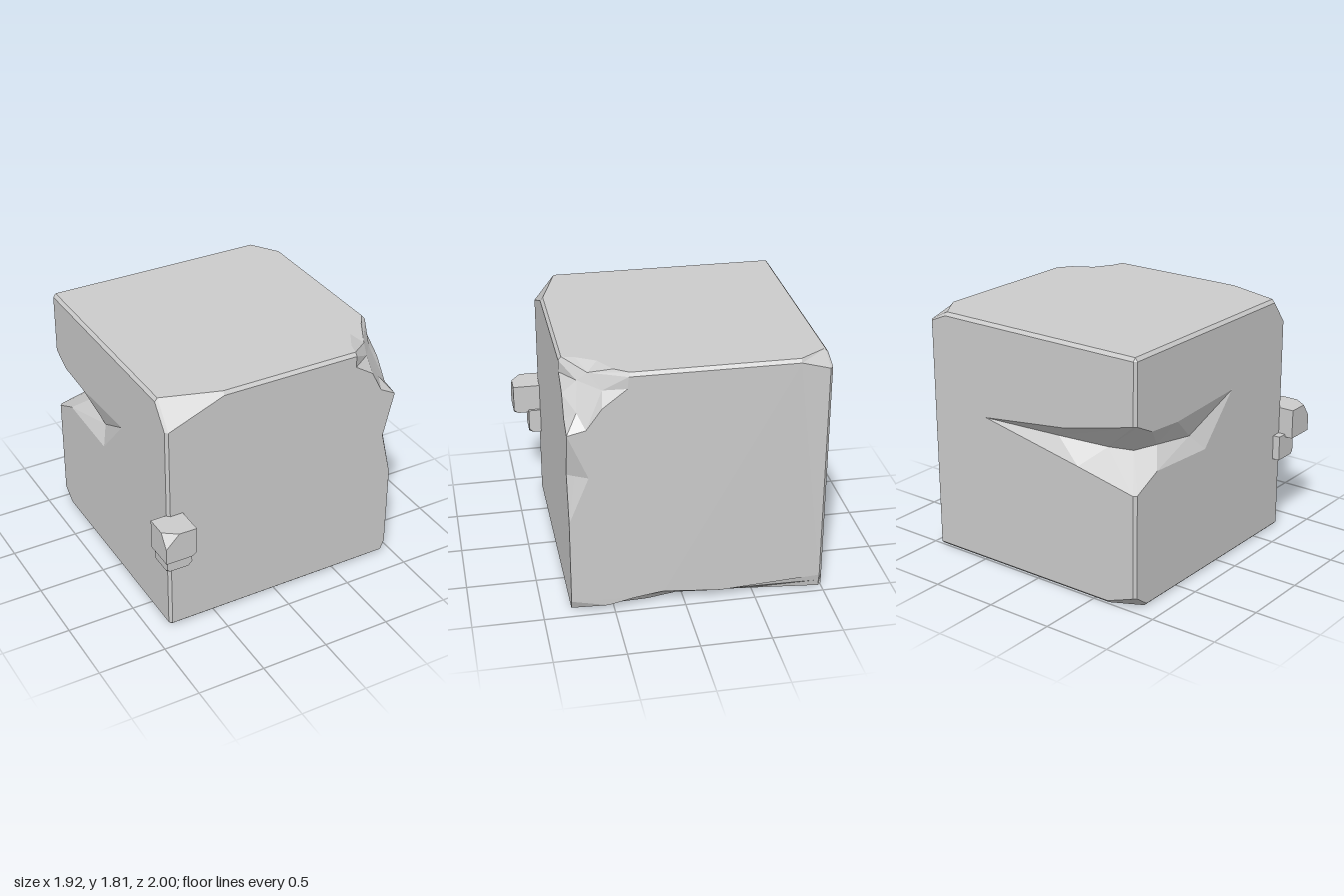
import * as THREE from 'three';
import { ConvexGeometry } from 'three/addons/geometries/ConvexGeometry.js';

const material = new THREE.MeshStandardMaterial({ color: 0xcccccc, flatShading: true });

// Face planes (capitals) and the start of the narrow bevels (lower case)
const L = -0.855, R = 0.95, T = 1.81, K = -1, F = 0.8;
const l = -0.835, r = 0.93, t = 1.785, b = 0.02, k = -0.98, f = 0.78;
const centre = new THREE.Vector3(0.05, 0.9, -0.1);

// Collects triangles, each turned to face away from the middle of the block
function surface() {
  const positions = [];
  const tri = (...corners) => {
    const [p, q, s] = corners.map(c => new THREE.Vector3(...c));
    const n = q.clone().sub(p).cross(s.clone().sub(p));
    if (n.length() < 1e-7) return;
    const out = p.clone().add(q).add(s).divideScalar(3).sub(centre);
    const order = n.dot(out) > 0 ? [p, q, s] : [p, s, q];
    order.forEach(v => positions.push(v.x, v.y, v.z));
  };
  const fan = (points, apex = points[0]) => {
    for (let i = 0; i < points.length - 1; i++) tri(apex, points[i], points[i + 1]);
  };
  const strip = (a, c) => {
    for (let i = 0; i < a.length - 1; i++) {
      tri(a[i], a[i + 1], c[i]);
      tri(a[i + 1], c[i + 1], c[i]);
    }
  };
  // Flat outline, possibly concave, perpendicular to the given axis
  const face = (axis, points) => {
    const flat = points.map(p => new THREE.Vector2(...p.filter((_, i) => i !== axis)));
    THREE.ShapeUtils.triangulateShape(flat, []).forEach(ids => tri(...ids.map(i => points[i])));
  };
  // Broken corner: each boundary arc fans to its own inner point
  const chip = (arcs, inner) => {
    arcs.forEach((arc, i) => {
      fan(arc, inner[i]);
      tri(arc[arc.length - 1], inner[i], inner[(i + 1) % inner.length]);
    });
    fan(inner);
  };
  const mesh = name => {
    const g = new THREE.BufferGeometry();
    g.setAttribute('position', new THREE.Float32BufferAttribute(positions, 3));
    g.computeVertexNormals();
    const m = new THREE.Mesh(g, material);
    m.name = name;
    return m;
  };
  return { fan, strip, face, chip, mesh };
}

const rev = a => [...a].reverse();

// Boundaries of the broken upper corner
const cornerFront = [[0.61, t, F], [0.61, 1.7, F], [0.75, 1.61, F]];
const cornerLow = [[0.75, 1.61, F], [0.83, 1.455, F], [R, 1.39, F], [R, 1.42, 0.67]];
const cornerSide = [[R, 1.42, 0.67], [R, 1.57, 0.56], [R, 1.7, 0.39], [R, t, 0.38]];
const cornerTop = [[r, T, 0.37], [0.86, T, 0.47], [0.715, T, 0.555], [0.635, T, 0.69], [0.61, T, f]];

// Crumbled lower edge: side line, ridge, underside line
const crumbSide = [[R, 0.09, F], [R, 0.03, 0.54], [R, 0.07, 0.36], [R, 0.1, 0.15], [R, 0.06, -0.26], [R, 0.1, k]];
const crumbMid = [[0.92, b, F], [0.92, 0.02, 0.52], [0.9, 0.04, 0.34], [0.9, 0.05, 0.05], [0.91, 0.04, -0.28], [0.94, 0.05, k]];
const crumbUnder = [[0.76, 0, f], [0.88, 0, 0.5], [0.87, 0, 0.25], [0.82, 0, 0], [0.87, 0, -0.45], [r, 0, k]];

// Gash wrapped around the rear vertical edge
const backTip = [0.45, 1.11, K], sideTip = [L, 1.28, 0.12];
const gashUpper = [backTip, [-0.26, 1.2, K], [l, 1.34, K], [L, 1.34, k], [L, 1.26, -0.82], [L, 1.24, -0.53], sideTip];
const gashMid = [backTip, [-0.15, 1.1, -0.93], [-0.5, 1.07, -0.83], [-0.66, 1.06, -0.76], [-0.75, 1.08, -0.62], [-0.79, 1.05, -0.3], sideTip];
const gashLower = [backTip, [-0.37, 0.95, K], [l, 0.855, K], [L, 0.855, k], [L, 0.96, -0.76], [L, 0.935, -0.2], sideTip];

// Notch on the front vertical edge
const notchTop = [R, 1.39, F], notchLow = [R, 0.72, F];
const notchFront = [0.87, 1.06, F], notchSide = [R, 1.06, 0.66], notchMid = [0.9, 1.06, 0.75];

function blockFaces() {
  const s = surface();
  // front, right, top
  s.face(2, [[l, b, F], [0.76, b, F], [0.92, b, F], crumbSide[0], notchLow, notchFront,
    ...rev(cornerLow.slice(0, 3)), ...rev(cornerFront.slice(0, 2)), [-0.42, t, F], [l, 1.62, F]]);
  s.face(0, [...crumbSide, [R, 1.73, k], [R, t, -0.78], ...rev(cornerSide), notchTop, notchSide, notchLow]);
  s.face(1, [[l, T, 0.65], [-0.42, T, f], ...rev(cornerTop), [r, T, -0.78], [0.8, T, k], [l, T, k]]);
  // left, back, underside
  s.face(0, [[L, b, -0.87], [L, b, f], [L, 1.62, f], [L, t, 0.65], [L, t, k],
    ...gashUpper.slice(3), ...rev(gashLower.slice(3, 6)), [L, 0.1, k]]);
  s.face(2, [[r, b, K], [-0.62, b, K], [l, 0.1, K], ...rev(gashLower.slice(0, 3)),
    ...gashUpper.slice(1, 3), [l, t, K], [0.8, t, K], [r, 1.73, K], [r, 0.1, K]]);
  s.face(1, [[l, 0, f], [l, 0, -0.87], [-0.62, 0, k], ...rev(crumbUnder)]);
  return s.mesh('blockFaces');
}

function bevels() {
  const s = surface();
  // top edges
  s.strip([[-0.42, T, f], [0.61, T, f]], [[-0.42, t, F], [0.61, t, F]]);
  s.strip([[r, T, 0.37], [r, T, -0.78]], [[R, t, 0.38], [R, t, -0.78]]);
  s.strip([[l, T, k], [0.8, T, k]], [[l, t, K], [0.8, t, K]]);
  s.strip([[l, T, k], [l, T, 0.65]], [[L, t, k], [L, t, 0.65]]);
  // upright edges
  s.strip([[l, b, F], [l, 1.62, F]], [[L, b, f], [L, 1.62, f]]);
  for (const [lo, hi] of [[0.1, 0.855], [1.34, t]])
    s.strip([[l, lo, K], [l, hi, K]], [[L, lo, k], [L, hi, k]]);
  s.strip([[r, 0.1, K], [r, 1.73, K]], [[R, 0.1, k], [R, 1.73, k]]);
  // lower edges
  s.strip([[l, b, F], [0.76, b, F]], [[l, 0, f], [0.76, 0, f]]);
  s.strip([[L, b, -0.87], [L, b, f]], [[l, 0, -0.87], [l, 0, f]]);
  s.strip([[-0.62, b, K], [r, b, K]], [[-0.62, 0, k], [r, 0, k]]);
  // cut corners
  s.fan([[l, 1.62, F], [-0.42, t, F], [-0.42, T, f], [l, T, 0.65], [L, t, 0.65], [L, 1.62, f]]);
  s.fan([[0.8, T, k], [r, T, -0.78], [R, t, -0.78], [R, 1.73, k], [r, 1.73, K], [0.8, t, K]]);
  s.fan([[l, T, k], [L, t, k], [l, t, K]]);
  s.fan([[l, b, F], [L, b, f], [l, 0, f]]);
  s.fan([[l, 0.1, K], [L, 0.1, k], [L, b, -0.87], [l, 0, -0.87], [-0.62, 0, k], [-0.62, b, K]]);
  s.fan([[r, 0.1, K], [R, 0.1, k], [0.94, 0.05, k], [r, 0, k], [r, b, K]]);
  s.fan([[0.76, b, F], [0.92, b, F], [0.76, 0, f]]);
  return s.mesh('bevels');
}

function brokenCorner() {
  const s = surface();
  s.chip(
    [cornerFront, cornerLow, cornerSide, [cornerSide[3], ...cornerTop, cornerFront[0]]],
    [[0.76, 1.7, 0.7], [0.86, 1.51, 0.72], [0.88, 1.67, 0.55], [0.78, 1.76, 0.63]]);
  return s.mesh('brokenCorner');
}

// Two slopes meeting along a middle line
function groove(name, first, middle, second) {
  const s = surface();
  s.strip(first, middle);
  s.strip(middle, second);
  return s.mesh(name);
}

// Small box with some corners cut; cuts: 'xyz' signs -> lengths cut along x, y, z
function chippedBox(name, min, max, cuts) {
  const points = [];
  for (const sx of [0, 1]) for (const sy of [0, 1]) for (const sz of [0, 1]) {
    const signs = [sx, sy, sz];
    const corner = signs.map((s, i) => (s ? max : min)[i]);
    const cut = cuts[signs.map(s => (s ? '+' : '-')).join('')];
    if (!cut) points.push(new THREE.Vector3(...corner));
    else for (let i = 0; i < 3; i++) {
      const p = [...corner];
      p[i] += signs[i] ? -cut[i] : cut[i];
      points.push(new THREE.Vector3(...p));
    }
  }
  const m = new THREE.Mesh(new ConvexGeometry(points), material);
  m.name = name;
  return m;
}

export function createModel() {
  const model = new THREE.Group();
  model.name = 'chippedBlock';
  model.add(
    blockFaces(),
    bevels(),
    brokenCorner(),
    groove('edgeNotch', [notchTop, notchFront, notchLow], [notchTop, notchMid, notchLow], [notchTop, notchSide, notchLow]),
    groove('crumbledLowerEdge', crumbSide, crumbMid, crumbUnder),
    groove('rearGash', gashUpper, gashMid, gashLower),
    chippedBox('upperStud', [-0.97, 0.73, 0.775], [-0.74, 0.95, 1],
      { '-++': [0.1, 0.1, 0.07], '+-+': [0.035, 0.025, 0.03] }),
    chippedBox('lowerStud', [-0.91, 0.565, 0.7], [-0.72, 0.75, 0.89],
      { '+-+': [0.03, 0.03, 0.03], '--+': [0.02, 0.02, 0.02] })
  );
  return model;
}
